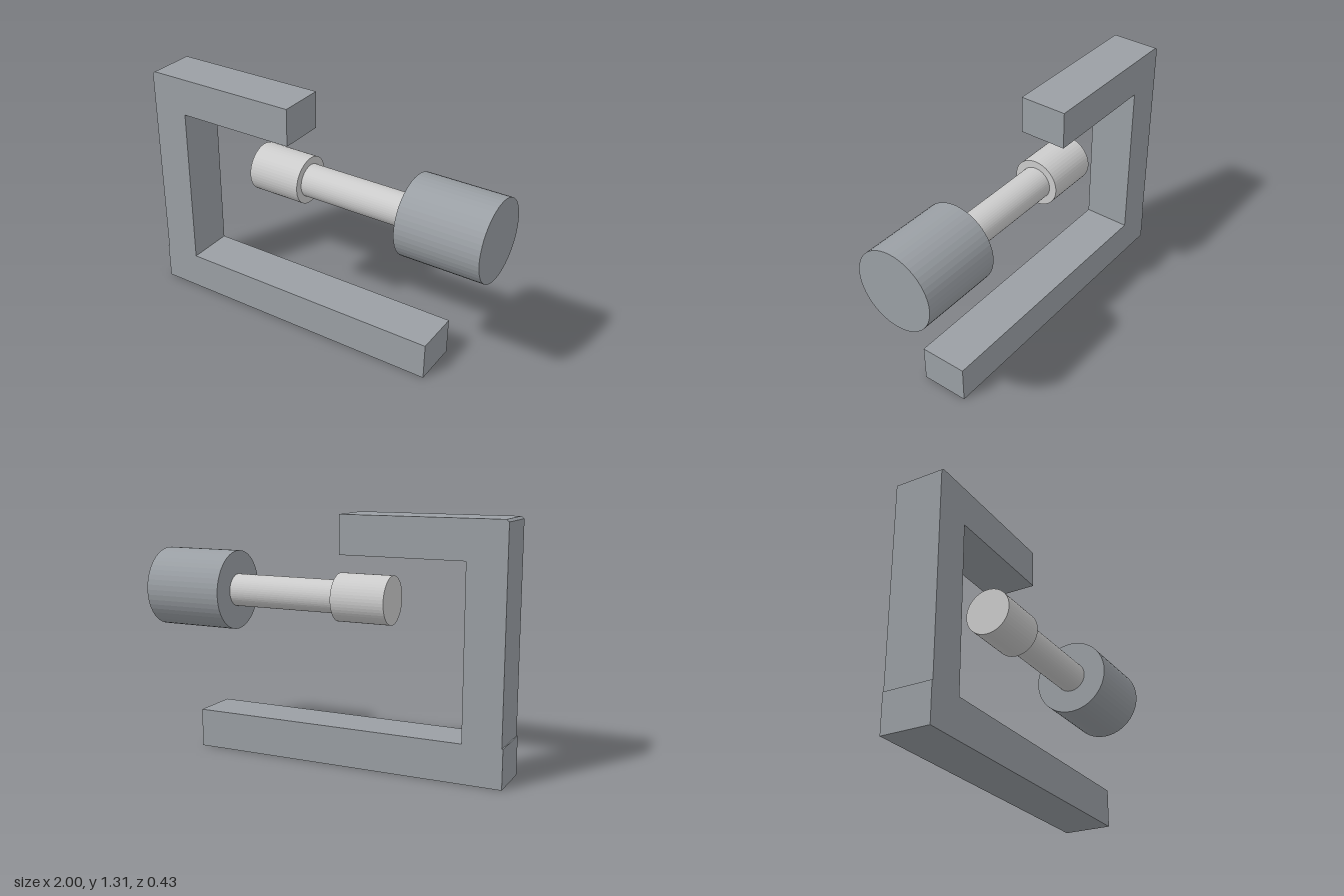
import * as THREE from 'three';

export function createModel() {
  const group = new THREE.Group();
  const painted = new THREE.MeshStandardMaterial({ color: 0x9a9fa4, flatShading: true });
  const steel = new THREE.MeshStandardMaterial({ color: 0xcccccc, flatShading: true });

  const add = (name, geometry, material) => {
    const mesh = new THREE.Mesh(geometry, material);
    mesh.name = name;
    group.add(mesh);
    return mesh;
  };

  // C-shaped frame: long lower arm, upright with a slight step, short upper arm
  const outline = [
    [-1, 0], [0.717, 0], [0.717, 0.207], [-0.79, 0.207], [-0.79, 1.106],
    [-0.123, 1.106], [-0.123, 1.31], [-0.98, 1.31], [-0.994, 1.298],
    [-0.994, 0.207], [-1, 0.207],
  ].map(([x, y]) => new THREE.Vector2(x, y));
  const depth = 0.262;
  const frame = new THREE.ExtrudeGeometry(new THREE.Shape(outline), { depth, bevelEnabled: false });
  frame.translate(0, 0, -depth / 2);
  add('frame', frame, painted);

  // Clamping screw: pressing head, shaft and knob along one horizontal axis
  const axisY = 0.872;
  const cylinder = (name, x0, x1, radius, material) => {
    const geometry = new THREE.CylinderGeometry(radius, radius, x1 - x0, 48);
    geometry.rotateZ(-Math.PI / 2);
    add(name, geometry, material).position.set((x0 + x1) / 2, axisY, 0);
  };
  cylinder('pressingHead', -0.365, -0.07, 0.128, steel);
  cylinder('shaft', -0.08, 0.56, 0.088, steel);
  cylinder('knob', 0.55, 1, 0.216, painted);

  return group;
}
